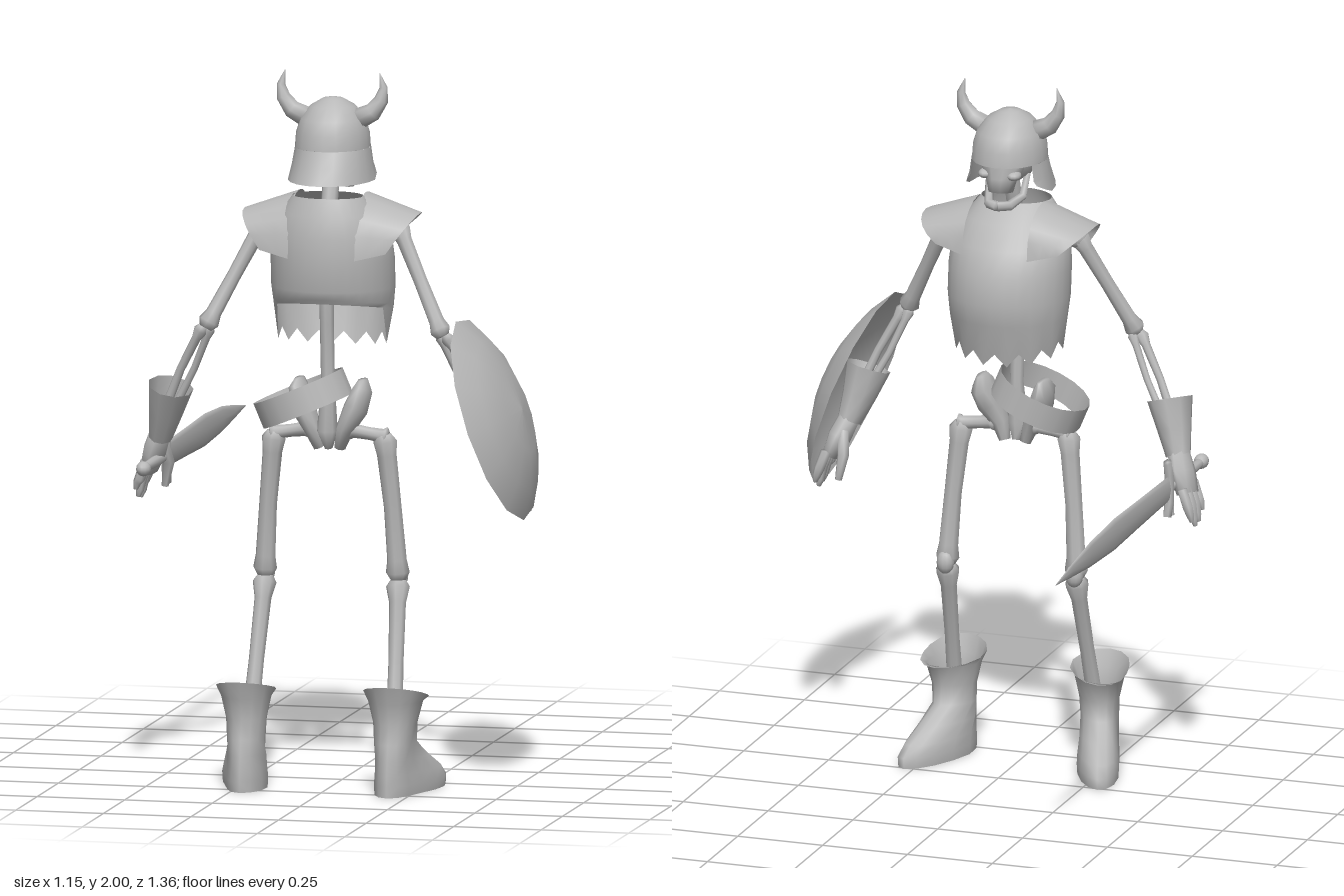
import * as THREE from 'three';

const V = (x, y, z) => new THREE.Vector3(x, y, z);
const grey = new THREE.MeshStandardMaterial({ color: 0xb8b8b8, side: THREE.DoubleSide });
grey.name = 'plain grey';

function add(parent, name, geometry) {
  const mesh = new THREE.Mesh(geometry, grey);
  mesh.name = name;
  parent.add(mesh);
  return mesh;
}

// Skin over rows of points; closed rows wrap around.
function loft(parent, name, rows, closed = true) {
  const n = rows[0].length, idx = [];
  for (let i = 0; i < rows.length - 1; i++) {
    for (let j = 0; j < (closed ? n : n - 1); j++) {
      const k = (j + 1) % n, a = i * n, b = a + n;
      idx.push(a + j, a + k, b + k, a + j, b + k, b + j);
    }
  }
  const g = new THREE.BufferGeometry().setFromPoints(rows.flat());
  g.setIndex(idx);
  g.computeVertexNormals();
  return add(parent, name, g);
}

// Tube through points [x, y, z, radius, second radius], capped unless open.
function tube(parent, name, pts, sides = 8, open = false) {
  const c = pts.map(p => V(p[0], p[1], p[2]));
  const all = c[c.length - 1].clone().sub(c[0]).normalize();
  const ref = Math.abs(all.y) > 0.6 ? V(0, 0, 1) : V(0, 1, 0);
  const rows = pts.map((p, i) => {
    const t = c[Math.min(i + 1, c.length - 1)].clone().sub(c[Math.max(i - 1, 0)]).normalize();
    const u = ref.clone().cross(t).normalize(), v = t.clone().cross(u);
    return Array.from({ length: sides }, (_, j) => {
      const a = j / sides * Math.PI * 2;
      return c[i].clone().addScaledVector(u, p[3] * Math.cos(a)).addScaledVector(v, (p[4] ?? p[3]) * Math.sin(a));
    });
  });
  if (!open) {
    rows.unshift(rows[0].map(() => c[0].clone()));
    rows.push(rows[0].map(() => c[c.length - 1].clone()));
  }
  return loft(parent, name, rows);
}

// Bone with knobbed ends between two points.
function bone(parent, name, a, b, r, knob, bow = 0) {
  const at = (t, rad) => [a[0] + (b[0] - a[0]) * t + bow * Math.sin(Math.PI * t),
    a[1] + (b[1] - a[1]) * t, a[2] + (b[2] - a[2]) * t, rad];
  return tube(parent, name, [at(-0.03, knob * 0.6), at(0.02, knob), at(0.12, r), at(0.5, r * 0.9),
    at(0.88, r), at(0.97, knob), at(1.03, knob * 0.6)]);
}

function ball(parent, name, x, y, z, rx, ry = rx, rz = rx) {
  const m = add(parent, name, new THREE.SphereGeometry(1, 12, 8));
  m.position.set(x, y, z);
  m.scale.set(rx, ry, rz);
  return m;
}

// Horizontal ring reaching from zBack to zFront.
function ring(x, y, zBack, zFront, rx, n = 16) {
  return Array.from({ length: n }, (_, j) => {
    const a = j / n * Math.PI * 2;
    return V(x + rx * Math.sin(a), y, (zBack + zFront) / 2 + (zBack - zFront) / 2 * Math.cos(a));
  });
}

// Everything that comes in left and right pairs.
function buildSide() {
  const g = new THREE.Group();
  // arm
  ball(g, 'shoulderJoint', 0.19, 1.57, 0.34, 0.032);
  bone(g, 'collarBone', [0.02, 1.6, 0.33], [0.19, 1.58, 0.34], 0.014, 0.02);
  bone(g, 'upperArm', [0.195, 1.57, 0.34], [0.335, 1.29, 0.42], 0.022, 0.03);
  bone(g, 'outerForearm', [0.35, 1.28, 0.42], [0.465, 1.04, 0.375], 0.013, 0.02, 0.008);
  bone(g, 'innerForearm', [0.33, 1.28, 0.41], [0.445, 1.04, 0.365], 0.011, 0.017, -0.008);
  tube(g, 'gloveCuff', [[0.445, 1.11, 0.395, 0.064, 0.07], [0.465, 1.03, 0.375, 0.048, 0.052],
    [0.485, 0.96, 0.35, 0.034, 0.04]], 9, true);
  tube(g, 'palm', [[0.483, 0.975, 0.355, 0.03, 0.036], [0.505, 0.92, 0.33, 0.033, 0.052],
    [0.525, 0.865, 0.315, 0.025, 0.052]]);
  for (let i = 0; i < 4; i++) {
    const z = 0.27 + i * 0.03, drop = [0.02, 0, 0.005, 0.03][i];
    tube(g, 'finger', [[0.525, 0.89, z, 0.015], [0.543, 0.84, z - 0.004, 0.015],
      [0.55, 0.8 + drop, z - 0.006, 0.012], [0.555, 0.78 + drop, z - 0.006, 0.006]], 6);
  }
  tube(g, 'thumb', [[0.49, 0.94, 0.31, 0.018], [0.478, 0.88, 0.28, 0.017], [0.49, 0.81, 0.275, 0.01]], 6);

  // shoulder plate draped from front to back
  const plate = [0, 0.35, 0.7, 1].map(s => Array.from({ length: 11 }, (_, j) => {
    const t = j / 10 * Math.PI, up = Math.sin(t) ** 0.8;
    const base = (t < Math.PI / 2 ? 1.49 : 1.53) + 0.02 * s;
    const outer = 0.18 + 0.07 * up;
    return V(0.095 + (outer - 0.095) * s, base + (1.665 - 0.055 * s - base) * up,
      0.325 + (0.135 - 0.015 * s) * Math.cos(t));
  }));
  loft(g, 'shoulderPlate', plate, false);

  // pelvis half
  tube(g, 'hipWing', [[0.03, 0.95, 0.36, 0.016, 0.02], [0.045, 1.0, 0.37, 0.025, 0.035],
    [0.075, 1.06, 0.36, 0.035, 0.055], [0.09, 1.11, 0.34, 0.028, 0.06], [0.09, 1.14, 0.34, 0.012, 0.035]]);
  bone(g, 'hipNeck', [0.06, 1.0, 0.36], [0.165, 0.985, 0.36], 0.02, 0.027);

  // leg
  bone(g, 'thighBone', [0.158, 0.98, 0.36], [0.19, 0.59, 0.335], 0.028, 0.034, 0.004);
  ball(g, 'kneeCap', 0.19, 0.59, 0.318, 0.025, 0.035, 0.025);
  bone(g, 'shinBone', [0.19, 0.57, 0.335], [0.208, 0.14, 0.46], 0.024, 0.034);

  // boot with toes turned outward
  const sections = [[0, 0.555, 0.24, 0.062], [0.03, 0.555, 0.238, 0.064], [0.06, 0.553, 0.265, 0.06],
    [0.1, 0.548, 0.33, 0.056], [0.145, 0.54, 0.395, 0.054], [0.2, 0.527, 0.4, 0.058],
    [0.26, 0.54, 0.385, 0.072], [0.285, 0.556, 0.37, 0.086]];
  const rows = sections.map(([y, zb, zf, rx], i) => ring(0.21, y, zb, zf, rx, 14).map(p => {
    p.x += 0.34 * Math.max(0, 0.46 - p.z);
    if (i === sections.length - 1) p.y += (p.z - 0.463) * 0.27;
    return p;
  }));
  loft(g, 'boot', rows);
  loft(g, 'sole', [rows[0].map(() => V(0.235, 0, 0.4)), rows[0].map(p => p.clone())]);

  // helmet horn
  tube(g, 'horn', [[0.075, 1.87, 0.325, 0.03], [0.115, 1.89, 0.325, 0.026], [0.14, 1.925, 0.325, 0.02],
    [0.146, 1.96, 0.325, 0.012], [0.135, 2.0, 0.325, 0.001]]);
  return g;
}

export function createModel() {
  const model = new THREE.Group();
  const cx = -0.01;

  for (const s of [-1, 1]) {
    const side = buildSide();
    side.name = s > 0 ? 'leftSide' : 'rightSide';
    side.scale.x = s;
    side.position.x = cx;
    model.add(side);
  }

  // helmet dome, open below
  const dome = [[1.79, 0.44, 0.197, 0.105], [1.83, 0.436, 0.2, 0.102], [1.87, 0.42, 0.215, 0.09],
    [1.905, 0.388, 0.25, 0.062], [1.925, 0.35, 0.29, 0.028], [1.93, 0.32, 0.32, 0]];
  loft(model, 'helmetDome', dome.map(([y, b, f, r]) => ring(cx, y, b, f, r, 18)));
  // flared guard around the back and cheeks
  const guard = [[1.7, 0.17, 0.122], [1.745, 0.145, 0.112], [1.79, 0.1215, 0.105]].map(([y, rz, rx], i) =>
    Array.from({ length: 15 }, (_, j) => {
      const a = (j / 14 - 0.5) * 4.3, cheek = Math.max(0, Math.abs(a) - 1.6) * 0.06;
      return V(cx + rx * Math.sin(a), y + (i === 0 ? cheek : 0), 0.3185 + (Math.cos(a) > 0 ? rz : 0.1215) * Math.cos(a));
    }));
  loft(model, 'helmetGuard', guard, false);

  // skull
  ball(model, 'skull', cx, 1.81, 0.32, 0.085, 0.09, 0.1);
  tube(model, 'face', [[cx, 1.81, 0.27, 0.065, 0.065], [cx, 1.775, 0.258, 0.062, 0.052],
    [cx, 1.745, 0.25, 0.045, 0.046], [cx, 1.71, 0.245, 0.035, 0.042]], 10);
  for (const s of [-1, 1]) {
    ball(model, 'cheekBone', cx + s * 0.042, 1.762, 0.235, 0.02, 0.014, 0.025);
    tube(model, 'jawSide', [[cx + s * 0.055, 1.75, 0.31, 0.01], [cx + s * 0.05, 1.69, 0.285, 0.012],
      [cx + s * 0.03, 1.675, 0.23, 0.014], [cx, 1.675, 0.212, 0.014]], 6);
  }

  // spine and neck
  tube(model, 'spine', [[cx, 1.76, 0.32, 0.024], [cx, 1.62, 0.365, 0.024], [cx, 1.5, 0.4, 0.022],
    [cx, 1.3, 0.39, 0.02], [cx, 1.12, 0.375, 0.02], [cx, 1.0, 0.385, 0.03], [cx, 0.95, 0.37, 0.012]]);

  // breastplate with a torn lower front edge
  const shell = [[1.3, 0.455, 0.19, 0.155], [1.34, 0.462, 0.162, 0.168], [1.4, 0.476, 0.15, 0.173],
    [1.48, 0.484, 0.158, 0.173], [1.55, 0.482, 0.188, 0.168], [1.61, 0.47, 0.24, 0.14],
    [1.66, 0.45, 0.3, 0.1]].map(([y, b, f, r]) => ring(cx, y, b, f, r, 28));
  const count = 28;
  shell[0].forEach((p, j) => {
    const front = (1 - Math.cos(j / count * Math.PI * 2)) / 2;
    p.y = front < 0.45 ? 1.365 - 0.05 * front : 1.31 - 0.06 * front - (j % 2 ? 0.035 : 0);
  });
  shell[1].forEach((p, j) => { p.y = Math.max(p.y, shell[0][j].y + 0.012); });
  loft(model, 'breastplate', shell);

  // slanted belt
  const belt = add(model, 'belt', new THREE.CylinderGeometry(0.135, 0.135, 0.075, 18, 1, true));
  belt.position.set(-0.085, 1.085, 0.36);
  belt.rotation.z = 0.4;
  belt.scale.z = 0.9;

  // domed round shield, tilted outward
  const profile = [[0.294, 0], [0.22, 0.045], [0.12, 0.078], [0, 0.09]].map(p => new THREE.Vector2(...p));
  const shield = add(model, 'shield', new THREE.LatheGeometry(profile, 13));
  shield.position.set(0.4625, 1.05, 0.385);
  shield.quaternion.setFromUnitVectors(V(0, 1, 0), V(0.943, 0.332, 0));

  // sword pointing along -z
  const sword = new THREE.Group();
  sword.name = 'sword';
  sword.position.set(-0.502, 0.895, 0);
  model.add(sword);
  tube(sword, 'blade', [[0, 0, 0.25, 0.009, 0.036], [0, 0, 0, 0.009, 0.041], [0, 0, -0.2, 0.009, 0.046],
    [0, 0, -0.4, 0.007, 0.036], [0, -0.002, -0.55, 0.005, 0.019], [0, -0.005, -0.68, 0.001, 0.001]], 8);
  tube(sword, 'guard', [[0, -0.08, 0.24, 0.012, 0.016], [0, -0.04, 0.253, 0.014], [0, 0.04, 0.253, 0.014],
    [0, 0.08, 0.24, 0.012, 0.016]], 6);
  tube(sword, 'grip', [[0, 0, 0.25, 0.014], [0, 0, 0.38, 0.016], [0, 0, 0.51, 0.013]]);
  ball(sword, 'pommel', 0, 0, 0.52, 0.021, 0.021, 0.026);

  return model;
}
